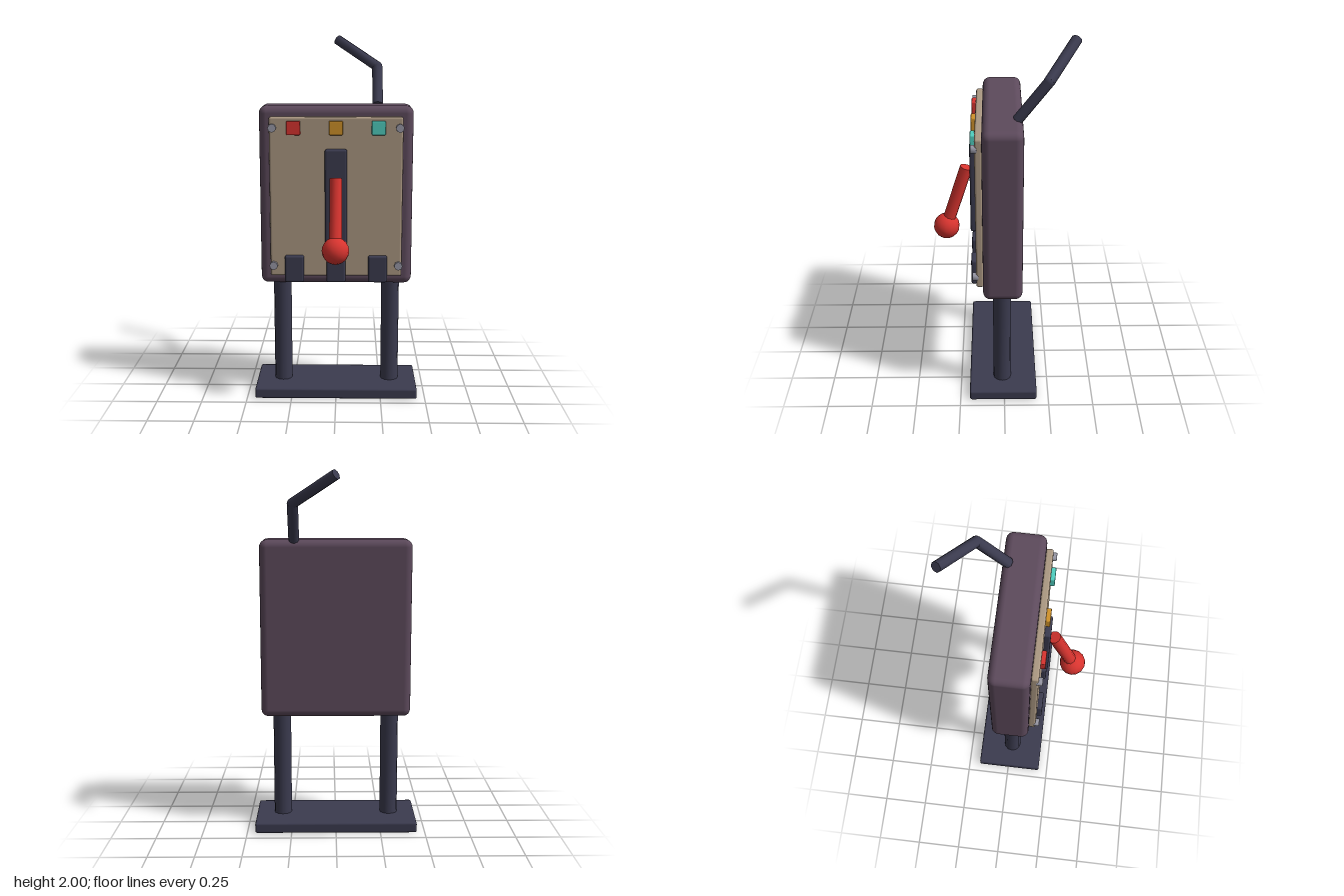
import * as THREE from 'three';
import { RoundedBoxGeometry } from 'three/addons/geometries/RoundedBoxGeometry.js';
import { toCreasedNormals } from 'three/addons/utils/BufferGeometryUtils.js';

export function createModel() {
  const model = new THREE.Group();
  model.name = 'leverSwitchBox';

  const material = (name, color) => {
    const m = new THREE.MeshStandardMaterial({ color });
    m.name = name;
    return m;
  };
  const darkMetal = material('darkMetal', 0x3b3b4f);
  const casing = material('plumCasing', 0x5d4a5c);
  const tan = material('tanPanel', 0xab9882);
  const red = material('red', 0xd8342f);
  const amber = material('amber', 0xd0922a);
  const teal = material('teal', 0x50cfc0);
  const steel = material('steel', 0x9a9aa8);

  const add = (name, geometry, mat) => {
    const mesh = new THREE.Mesh(geometry, mat);
    mesh.name = name;
    model.add(mesh);
    return mesh;
  };

  // Rounded block from its centre x and its y and z ranges
  const block = (name, mat, x, width, [y0, y1], [z0, z1], radius, segments = 1) => {
    const geometry = new RoundedBoxGeometry(width, y1 - y0, z1 - z0, segments, radius);
    add(name, geometry, mat).position.set(x, (y0 + y1) / 2, (z0 + z1) / 2);
  };

  // Straight rod between two points
  const rod = (name, mat, from, to, radius, sides) => {
    const a = new THREE.Vector3(...from);
    const b = new THREE.Vector3(...to);
    const dir = b.clone().sub(a);
    const geometry = toCreasedNormals(
      new THREE.CylinderGeometry(radius, radius, dir.length(), sides), 0.9);
    const mesh = add(name, geometry, mat);
    mesh.position.copy(a).add(b).multiplyScalar(0.5);
    mesh.quaternion.setFromUnitVectors(new THREE.Vector3(0, 1, 0), dir.normalize());
  };

  // Stand
  block('base', darkMetal, 0, 0.91, [0, 0.06], [-0.183, 0.197], 0.012, 2);
  for (const x of [-0.305, 0.305]) {
    rod('post', darkMetal, [x, 0.04, 0.012], [x, 0.68, 0.012], 0.05, 12);
  }

  // Casing and front panel
  block('casing', casing, 0, 0.835, [0.65, 1.635], [-0.098, 0.115], 0.04, 3);
  block('panel', tan, 0, 0.72, [0.705, 1.58], [0.112, 0.152], 0.012, 2);
  block('leverSlot', darkMetal, 0, 0.12, [0.88, 1.41], [0.148, 0.186], 0.012, 2);

  // Row of lamps above and sockets below
  [red, amber, teal].forEach((mat, i) => {
    const x = (i - 1) * 0.228;
    block('lamp', mat, x, 0.075, [1.485, 1.56], [0.146, 0.176], 0.006);
    block('socket', darkMetal, x, 0.105, [0.675, 0.825], [0.146, 0.18], 0.012, 2);
  });

  // Corner bolts
  for (const x of [-0.342, 0.342]) {
    for (const y of [0.766, 1.522]) {
      rod('bolt', steel, [x, y, 0.14], [x, y, 0.172], 0.023, 8);
    }
  }

  // Lever and knob
  rod('lever', red, [0, 1.257, 0.205], [0, 0.89, 0.323], 0.035, 10);
  add('knob', new THREE.SphereGeometry(0.073, 14, 10), red).position.set(0, 0.89, 0.323);

  // Bent pipe on top, with a filled elbow
  const elbow = [0.228, 1.832, -0.223];
  rod('pipeLower', darkMetal, [0.228, 1.63, -0.067], elbow, 0.029, 8);
  rod('pipeUpper', darkMetal, elbow, [0.002, 1.979, -0.374], 0.029, 8);
  add('pipeElbow', new THREE.SphereGeometry(0.029, 8, 6), darkMetal).position.set(...elbow);

  return model;
}
